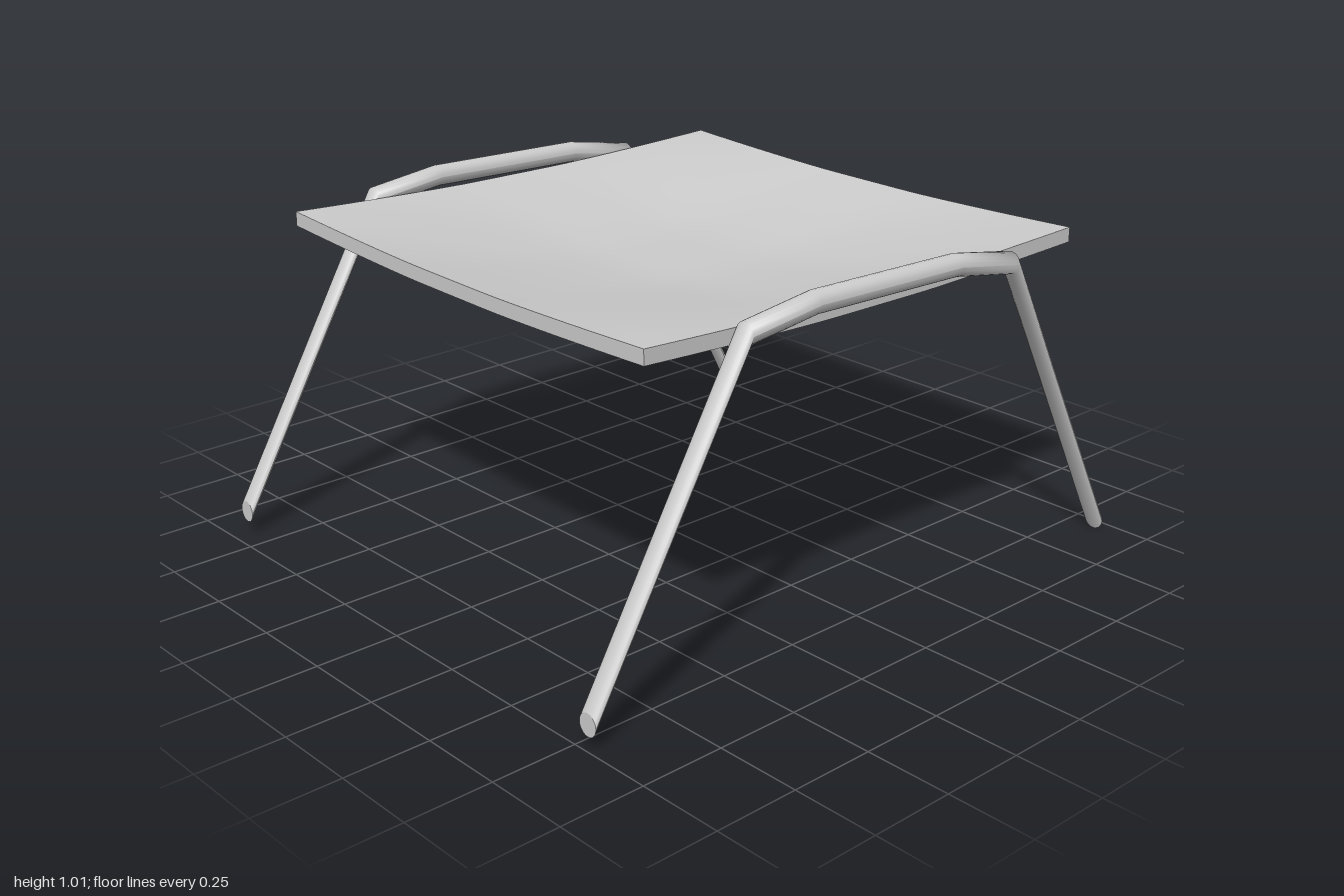
import * as THREE from 'three';

const material = new THREE.MeshStandardMaterial({ color: 0xcccccc });

// Bent tube whose round section always stays upright, so the feet end in vertical cuts
function makeLegFrame(name, z) {
  const path = [[-0.972, 0.05], [-0.49, 0.938], [-0.26, 0.973], [0.26, 0.973], [0.49, 0.938], [0.972, 0.05]];
  const last = path.length - 1;
  const geometry = new THREE.CylinderGeometry(0.032, 0.032, 1, 20, last);
  geometry.rotateZ(-Math.PI / 2);
  const p = geometry.attributes.position;
  for (let i = 0; i < p.count; i++) {
    const [x, y] = path[Math.round((p.getX(i) + 0.5) * last)];
    p.setXYZ(i, x, p.getY(i) + y, p.getZ(i));
  }
  geometry.computeVertexNormals();
  const mesh = new THREE.Mesh(geometry, material);
  mesh.name = name;
  mesh.position.z = z;
  mesh.rotation.z = -0.018;
  return mesh;
}

// Thin square slab, dished towards the middle with almost straight rims
function makeSeat() {
  const half = 0.78;
  const geometry = new THREE.BoxGeometry(half * 2, 0.043, half * 2, 24, 1, 24);
  const sag = (t) => 1 - Math.pow(Math.max(0, (Math.abs(t) / half - 0.2) / 0.8), 1.4);
  const p = geometry.attributes.position;
  for (let i = 0; i < p.count; i++) {
    const a = sag(p.getX(i)), b = sag(p.getZ(i));
    p.setY(i, p.getY(i) - 0.02 * Math.max(a, b) - 0.085 * a * b);
  }
  geometry.computeVertexNormals();
  const mesh = new THREE.Mesh(geometry, material);
  mesh.name = 'seat';
  mesh.position.set(0.02, 0.944, 0);
  return mesh;
}

export function createModel() {
  const group = new THREE.Group();
  group.name = 'stool';
  const body = new THREE.Group();
  body.name = 'stoolBody';
  body.add(makeSeat(), makeLegFrame('frontLegFrame', 0.815), makeLegFrame('backLegFrame', -0.82));
  // The whole stool stands slightly turned
  body.rotation.y = -0.026;
  group.add(body);
  return group;
}
